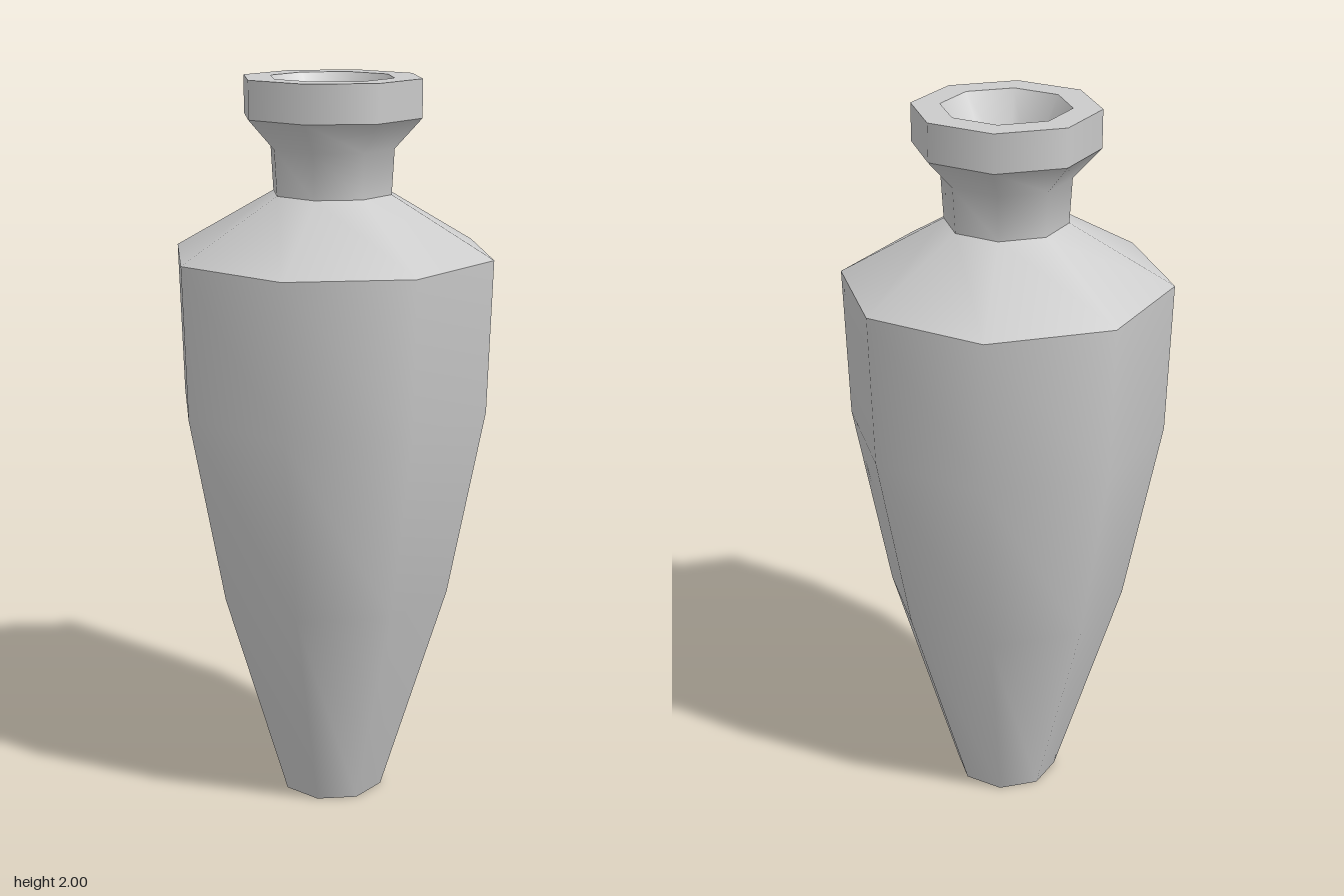
import * as THREE from 'three';

const SIDES = 8;

// Each band is smooth within itself; the joints between bands stay sharp.
// Profiles run [radius, height] from the base, up the outside, over the lip and down inside.
const BANDS = {
  base: [[0, 0], [0.145, 0]],
  body: [[0.145, 0], [0.33, 0.61], [0.428, 1.13], [0.44, 1.54]],
  shoulder: [[0.44, 1.54], [0.163, 1.7]],
  neck: [[0.163, 1.7], [0.17, 1.82], [0.243, 1.9]],
  collar: [[0.243, 1.9], [0.243, 2]],
  rim: [[0.243, 2], [0.168, 2]],
  mouth: [[0.168, 2], [0.071, 1.83]],
  mouthFloor: [[0.071, 1.83], [0, 1.83]],
};

export function createModel() {
  const vase = new THREE.Group();
  vase.name = 'vase';
  const material = new THREE.MeshStandardMaterial({ color: 0xcccccc });

  for (const [name, profile] of Object.entries(BANDS)) {
    const points = profile.map(([r, y]) => new THREE.Vector2(r, y));
    const mesh = new THREE.Mesh(new THREE.LatheGeometry(points, SIDES), material);
    mesh.name = name;
    vase.add(mesh);
  }
  return vase;
}
